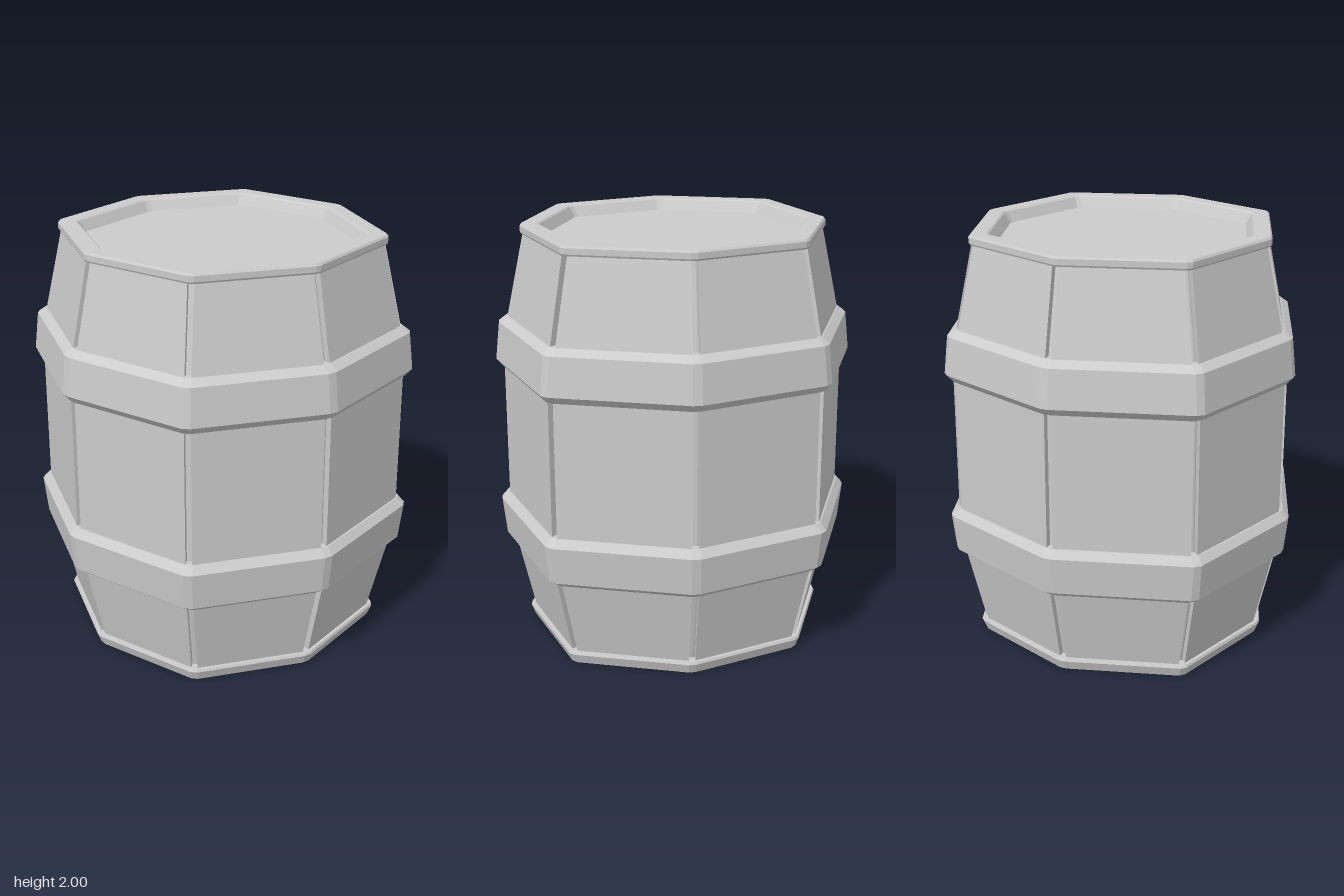
import * as THREE from 'three';

const material = new THREE.MeshStandardMaterial({ color: 0xcccccc, flatShading: true });

// Slightly squashed octagon with corners on the axes, as [x, z] for radius 1
const D = 0.657, Z = 0.962;
const OCTAGON = [[1, 0], [D, D], [0, Z], [-D, D], [-1, 0], [-D, -D], [0, -Z], [D, -D]];
const corner = (i, r) => new THREE.Vector2(...OCTAGON[(i + 8) % 8]).multiplyScalar(r);

// Point on side i, a distance d from corner i (from its far corner when fromEnd)
function alongSide(i, r, d, fromEnd = false) {
  const a = corner(fromEnd ? i + 1 : i, r), b = corner(fromEnd ? i : i + 1, r);
  return a.clone().add(b.sub(a).setLength(d));
}

// Octagonal ring whose corners are bevelled by d
function bevelledRing(r, d) {
  const ring = [];
  for (let i = 0; i < 8; i++) ring.push(alongSide(i - 1, r, d, true), alongSide(i, r, d));
  return ring;
}

// Skins a list of { y, ring } sections; a closed end is filled with a fan
function loft(sections, capStart = false, capEnd = false) {
  const n = sections[0].ring.length, pos = [], idx = [];
  for (const { y, ring } of sections) for (const p of ring) pos.push(p.x, y, p.y);
  for (let k = 0; k < sections.length - 1; k++) {
    for (let i = 0; i < n; i++) {
      const j = (i + 1) % n, a = k * n + i, b = k * n + j;
      idx.push(a, a + n, b, b, a + n, b + n);
    }
  }
  const last = (sections.length - 1) * n;
  for (let i = 1; i < n - 1; i++) {
    if (capStart) idx.push(0, i, i + 1);
    if (capEnd) idx.push(last, last + i + 1, last + i);
  }
  const g = new THREE.BufferGeometry();
  g.setAttribute('position', new THREE.Float32BufferAttribute(pos, 3));
  g.setIndex(idx);
  const flat = g.toNonIndexed();
  flat.computeVertexNormals();
  return flat;
}

const ringLoft = (profile, bevel, capStart, capEnd) =>
  loft(profile.map(([r, y]) => ({ y, ring: bevelledRing(r, bevel) })), capStart, capEnd);

export function createModel() {
  const barrel = new THREE.Group();
  barrel.name = 'barrel';
  const add = (name, geometry) => {
    const mesh = new THREE.Mesh(geometry, material);
    mesh.name = name;
    barrel.add(mesh);
  };

  // Bulging body profile [radius, y]
  const body = [[0.762, 0.03], [0.862, 0.44], [0.886, 0.65], [0.886, 1.35], [0.862, 1.56], [0.767, 1.97]];

  // Recessed core visible in the gaps between staves
  add('core', ringLoft(body.map(([r, y]) => [r - 0.035, y]), 0.01));

  // Eight staves, separated by narrow gaps at the corners
  for (let i = 0; i < 8; i++) {
    add('stave' + (i + 1), loft(body.map(([r, y]) => ({
      y,
      ring: [
        alongSide(i, r, 0.017), alongSide(i, r, 0.017, true),
        alongSide(i, r - 0.05, 0.017, true), alongSide(i, r - 0.05, 0.017),
      ],
    })), true, true));
  }

  // Two hoops, mirrored about mid height
  const hoop = [[0.82, 0.433], [0.866, 0.433], [0.908, 0.462], [0.929, 0.642], [0.895, 0.678], [0.82, 0.678]];
  add('lowerHoop', ringLoft(hoop, 0.022));
  add('upperHoop', ringLoft(hoop.map(([r, y]) => [r, 2 - y]).reverse(), 0.022));

  // Base rim with a flat underside
  add('baseRim', ringLoft([[0.773, 0], [0.793, 0.048], [0.787, 0.06], [0.7, 0.06]], 0.018, true));

  // Top rim running down into the recessed lid
  add('topRimAndLid', ringLoft([
    [0.7, 1.955], [0.778, 1.955], [0.783, 1.963], [0.783, 1.99], [0.775, 2],
    [0.695, 2], [0.685, 1.994], [0.653, 1.945],
  ], 0.015, false, true));

  return barrel;
}
